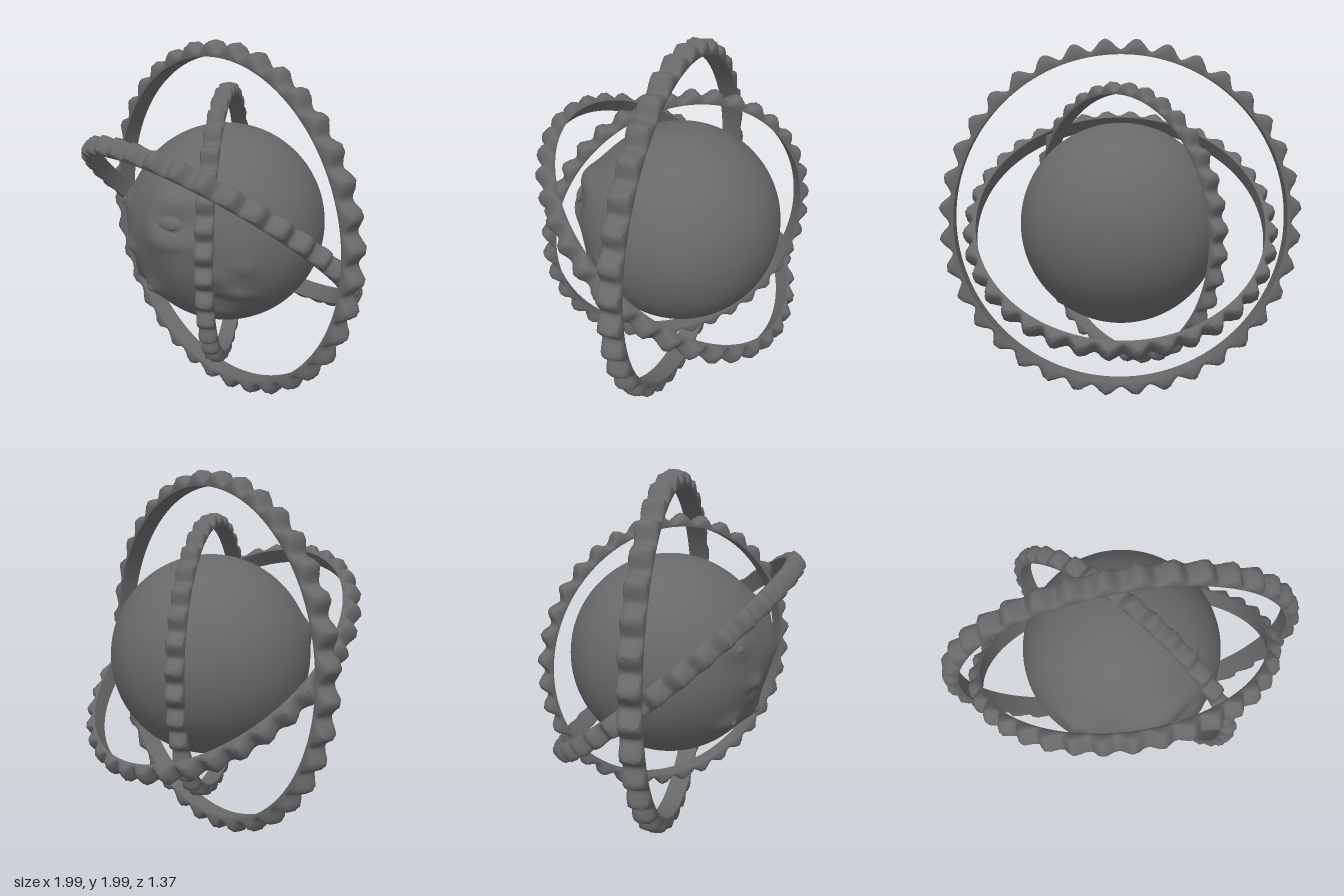
import * as THREE from 'three';
import { toCreasedNormals } from 'three/addons/utils/BufferGeometryUtils.js';

const material = new THREE.MeshStandardMaterial({ color: 0x696969 });
const DEG = Math.PI / 180;
const RADIUS = 0.55;

function addMesh(parent, name, geometry) {
  const mesh = new THREE.Mesh(geometry, material);
  mesh.name = name;
  parent.add(mesh);
  return mesh;
}

// Flat band with rounded knobs around its outer edge, lying in the XY plane
function knobbedRing(inner, outer, width, knobs) {
  const perKnob = 12, steps = knobs * perKnob, h = width / 2;
  // Cross-section: [share of half width, share of knob height]
  const section = [[-0.9, -1], [-0.94, 0.0], [-1, 0.4], [-0.85, 0.78], [-0.45, 0.96], [0, 1],
    [0.45, 0.96], [0.85, 0.78], [1, 0.4], [0.94, 0.0], [0.9, -1]];
  const n = section.length, base = inner + 0.012;
  const position = [], index = [];
  for (let i = 0; i < steps; i++) {
    const a = (i / steps) * Math.PI * 2;
    const wave = 0.5 - 0.5 * Math.cos((i / perKnob) * Math.PI * 2);
    const rise = (outer - base) * (0.2 + 0.8 * Math.pow(wave, 0.85));
    section.forEach(([u, v], j) => {
      const ripple = v > 0 && v < 1 ? 0.004 * Math.sin(i * 1.9 + j * 2.3) * wave : 0;
      const r = v < 0 ? inner : base + rise * v + ripple;
      const z = u * h * (v > 0 ? 0.9 + 0.1 * wave : 1);
      position.push(r * Math.cos(a), r * Math.sin(a), z);
    });
    const next = (i + 1) % steps;
    for (let j = 0; j < n; j++) {
      const k = (j + 1) % n;
      const p = i * n + j, q = next * n + j, r = next * n + k, s = i * n + k;
      index.push(p, q, r, p, r, s);
    }
  }
  const geometry = new THREE.BufferGeometry();
  geometry.setAttribute('position', new THREE.Float32BufferAttribute(position, 3));
  geometry.setIndex(index);
  return toCreasedNormals(geometry, 50 * DEG);
}

// Soft swellings and hollows on the front: x, y, radius x, radius y, height
const RELIEF = [
  [0.10, 0.12, 0.13, 0.17, 0.055],    // swelling around the eye
  [0.18, 0.25, 0.15, 0.05, 0.022],    // brow
  [0.16, 0.14, 0.10, 0.05, -0.025],   // eye socket
  [0.18, 0.03, 0.13, 0.04, 0.012],    // lower lid
  [0.33, 0.16, 0.05, 0.12, 0.015],    // cheek
  [-0.33, 0.14, 0.08, 0.06, 0.025],
  [-0.20, -0.08, 0.06, 0.04, 0.025],
  [-0.20, -0.13, 0.05, 0.025, -0.012],
  [-0.28, -0.28, 0.06, 0.05, 0.025],
  [-0.05, -0.28, 0.07, 0.06, 0.028],
  [0.36, -0.14, 0.04, 0.05, 0.012],
  [0.41, -0.24, 0.04, 0.04, 0.014],
  [0.32, -0.28, 0.05, 0.04, -0.012],
  [0.29, -0.37, 0.04, 0.03, 0.014],
  [0.22, -0.39, 0.04, 0.03, 0.014],
  [0.46, -0.08, 0.03, 0.05, 0.012],
];

function lift(x, y) {
  return RELIEF.reduce((sum, [cx, cy, rx, ry, height]) =>
    sum + height * Math.exp(-(((x - cx) / rx) ** 2) - ((y - cy) / ry) ** 2), 0);
}

function globeGeometry() {
  const geometry = new THREE.SphereGeometry(RADIUS, 180, 120);
  const pos = geometry.attributes.position, p = new THREE.Vector3();
  for (let i = 0; i < pos.count; i++) {
    p.fromBufferAttribute(pos, i);
    if (p.z <= 0) continue;
    p.setLength(RADIUS + lift(p.x, p.y) * Math.min(1, p.z / 0.15));
    pos.setXYZ(i, p.x, p.y, p.z);
  }
  geometry.computeVertexNormals();
  return geometry;
}

// Eyeball with a raised rim, seated on the relief
function addEye(parent, name, x, y, rx, ry, depth) {
  const eye = new THREE.Group();
  eye.name = name;
  eye.position.set(x, y, Math.sqrt(RADIUS ** 2 - x * x - y * y)).setLength(RADIUS + lift(x, y));
  eye.rotation.set(-Math.asin(y / RADIUS), Math.asin(x / RADIUS), 0, 'YXZ');
  parent.add(eye);
  addMesh(eye, 'eyeball', new THREE.SphereGeometry(1, 28, 18)).scale.set(rx, ry, depth);
  addMesh(eye, 'eyeRim', new THREE.TorusGeometry(1, 0.16, 10, 36)).scale.set(rx, ry, depth);
}

export function createModel() {
  const model = new THREE.Group();
  model.name = 'ringedGlobe';

  // Globe with its face
  const globe = new THREE.Group();
  globe.name = 'globe';
  globe.position.set(0, 1, -0.045);
  model.add(globe);
  addMesh(globe, 'globeSurface', globeGeometry());
  addEye(globe, 'largeEye', 0.15, 0.135, 0.076, 0.038, 0.022);
  addEye(globe, 'smallEyeUpper', -0.325, 0.13, 0.024, 0.02, 0.012);
  addEye(globe, 'smallEyeLowerOuter', -0.275, -0.275, 0.016, 0.018, 0.012);
  addEye(globe, 'smallEyeLowerInner', -0.045, -0.27, 0.024, 0.024, 0.014);

  // Three crossed rings of one design in falling sizes
  const ringGeometry = knobbedRing(0.915, 1, 0.125, 36);
  const outerRing = addMesh(model, 'outerRing', ringGeometry);
  outerRing.position.set(0, 1.003, -0.037);

  const tiltedRing = addMesh(model, 'tiltedRing', ringGeometry);
  tiltedRing.scale.setScalar(0.873);
  tiltedRing.position.set(0, 0.985, 0);
  tiltedRing.rotation.x = 50 * DEG;

  const uprightRing = addMesh(model, 'uprightRing', ringGeometry);
  uprightRing.scale.setScalar(0.778);
  uprightRing.position.set(0, 0.995, -0.04);
  uprightRing.rotation.y = -50 * DEG;

  return model;
}
